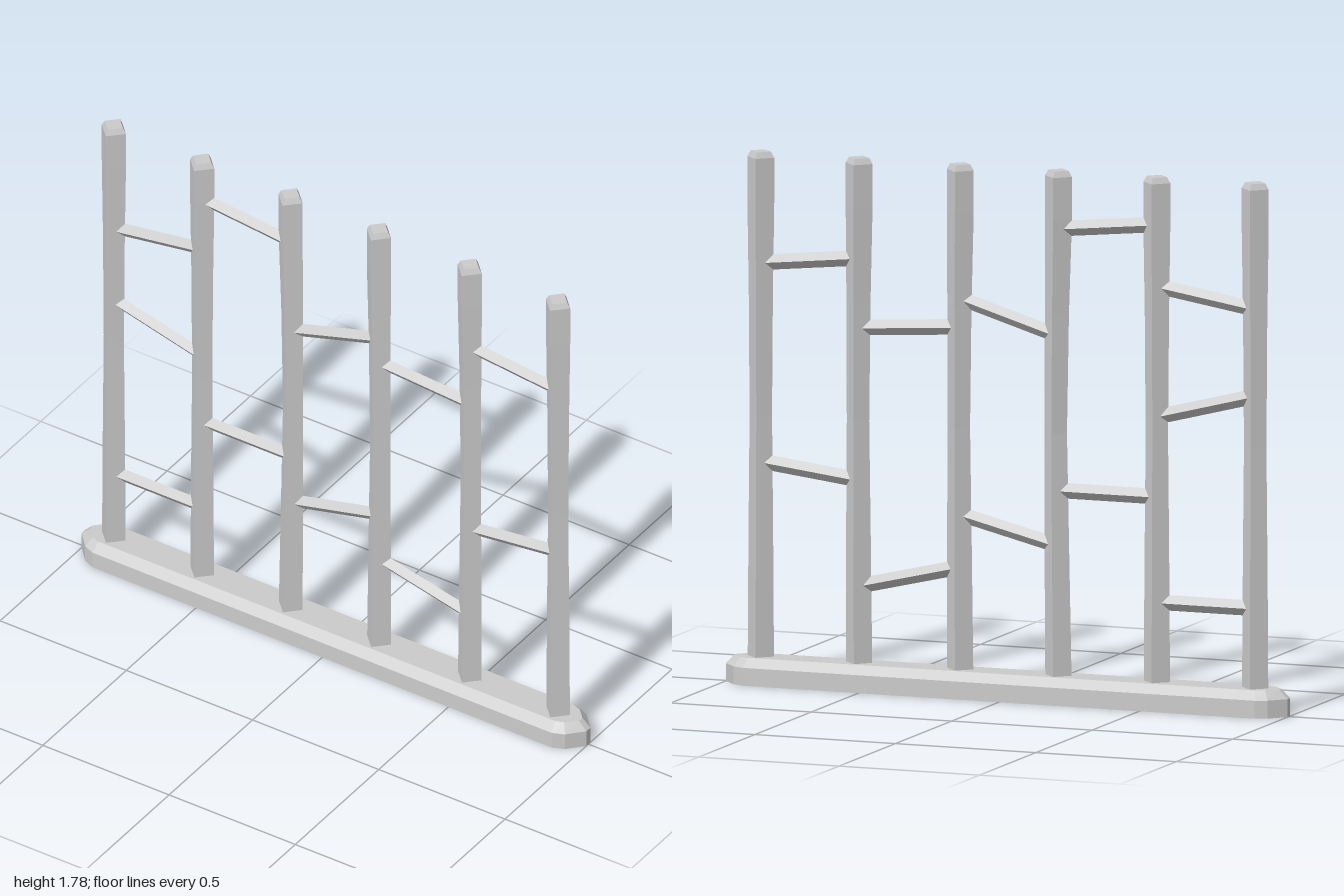
import * as THREE from 'three';

const material = new THREE.MeshStandardMaterial({ color: 0xcccccc, flatShading: true });

// Closed solid through a list of rings; each ring runs counter-clockwise seen from the last end.
function loft(name, rings) {
  const n = rings[0].length;
  const index = [];
  for (let r = 0; r < rings.length - 1; r++) {
    for (let i = 0; i < n; i++) {
      const a = r * n + i, b = r * n + (i + 1) % n;
      index.push(a, b, b + n, a, b + n, a + n);
    }
  }
  const last = (rings.length - 1) * n;
  for (let i = 1; i < n - 1; i++) {
    index.push(0, i + 1, i, last, last + i, last + i + 1);
  }
  const indexed = new THREE.BufferGeometry();
  indexed.setAttribute('position', new THREE.Float32BufferAttribute(rings.flat(2), 3));
  indexed.setIndex(index);
  const geometry = indexed.toNonIndexed();
  geometry.computeVertexNormals();
  const mesh = new THREE.Mesh(geometry, material);
  mesh.name = name;
  return mesh;
}

// Base outline mirrored from one quarter
function baseRing(y, quarter) {
  const back = quarter.map(([x, z]) => [x, y, -z]);
  const backLeft = quarter.map(([x, z]) => [-x, y, -z]).reverse();
  const frontLeft = quarter.map(([x, z]) => [-x, y, z]);
  const front = quarter.map(([x, z]) => [x, y, z]).reverse();
  return [...back, ...backLeft, ...frontLeft, ...front];
}

// Post profile: height, half diagonal, share of the sideways bend
const postProfile = [
  [0.05, 0.047, 0], [0.5, 0.044, 0.6], [0.9, 0.04, 1], [1.3, 0.043, 0.6],
  [1.62, 0.048, 0], [1.76, 0.048, 0], [1.78, 0.036, 0],
];
// Post centre and bend
const posts = [[-0.88, 0], [-0.53, 0], [-0.18, 0.01], [0.17, 0.005], [0.53, 0.004], [0.88, 0]];

// Rungs: bay, height at its left post and at its right post
const rungs = [
  [0, 1.357, 1.413], [0, 1.065, 0.975], [0, 0.355, 0.355],
  [1, 1.619, 1.584], [1, 0.708, 0.708],
  [2, 1.225, 1.33], [2, 0.522, 0.607],
  [3, 1.234, 1.21], [3, 0.43, 0.345],
  [4, 1.443, 1.407], [4, 0.7, 0.742],
];

export function createModel() {
  const group = new THREE.Group();
  group.name = 'barredFence';

  // Base with chamfered upper rim
  const outer = [[1, 0.012], [0.95, 0.066], [0.91, 0.083]];
  const inner = [[0.97, 0.01], [0.935, 0.045], [0.905, 0.055]];
  group.add(loft('base', [baseRing(0, outer), baseRing(0.06, outer), baseRing(0.09, inner)]));

  // Diamond-section posts, slightly waisted and bent
  for (const [x, bend] of posts) {
    group.add(loft('post', postProfile.map(([y, r, share]) => {
      const cx = x + bend * share;
      return [[cx + r, y, 0], [cx, y, -r], [cx - r, y, 0], [cx, y, r]];
    })));
  }

  // Sloping diamond-section rungs, ends buried in the posts
  const h = 0.026, d = 0.021;
  for (const [bay, y0, y1] of rungs) {
    const ring = (x, y) => [[x, y + h, 0], [x, y, d], [x, y - h, 0], [x, y, -d]];
    group.add(loft('rung', [ring(posts[bay][0], y0), ring(posts[bay + 1][0], y1)]));
  }
  return group;
}
